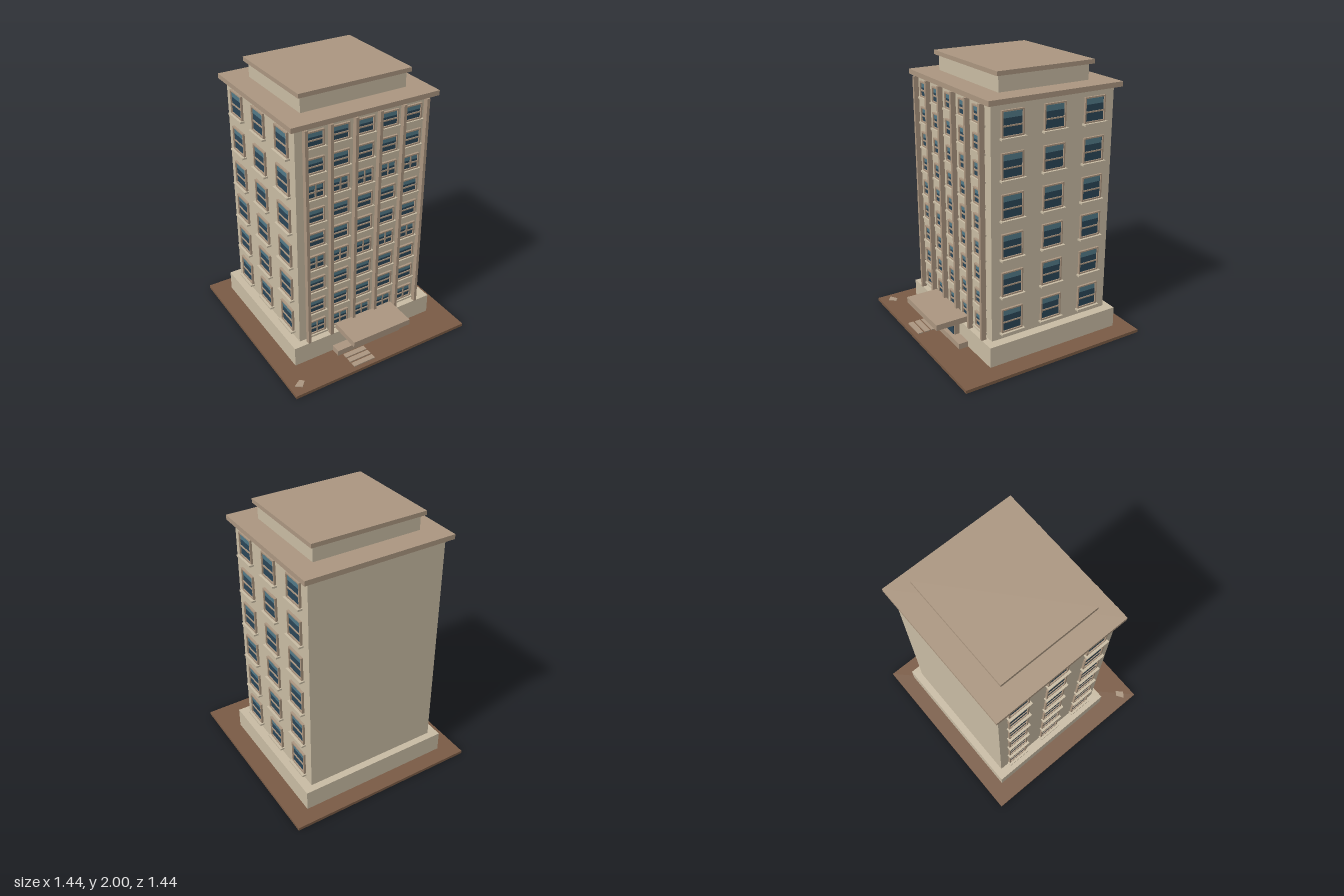
import * as THREE from 'three';

const mat = (name, color) => {
  const m = new THREE.MeshStandardMaterial({ color });
  m.name = name;
  return m;
};

export function createModel() {
  const wall = mat('cream wall', 0xc8bba3);
  const trim = mat('tan trim', 0xab9680);
  const earth = mat('brown ground', 0x7a5b45);
  const glass = mat('dark glass', 0x2b4657);
  const blind = mat('pale glass', 0x527a88);

  const model = new THREE.Group();
  model.name = 'officeTower';

  // Box given by its min and max on each axis
  const box = (name, material, [x0, x1], [y0, y1], [z0, z1], parent = model) => {
    const mesh = new THREE.Mesh(new THREE.BoxGeometry(x1 - x0, y1 - y0, z1 - z0), material);
    mesh.position.set((x0 + x1) / 2, (y0 + y1) / 2, (z0 + z1) / 2);
    mesh.name = name;
    parent.add(mesh);
    return mesh;
  };

  // Main masses
  box('groundSlab', earth, [-0.72, 0.72], [0, 0.023], [-0.72, 0.72]);
  box('plinth', wall, [-0.58, 0.58], [0.023, 0.175], [-0.6, 0.455]);
  box('towerBody', wall, [-0.512, 0.512], [0.175, 1.825], [-0.547, 0.403]);
  box('roofSlab', trim, [-0.555, 0.555], [1.825, 1.86], [-0.587, 0.443]);
  box('penthouse', wall, [-0.4, 0.4], [1.86, 1.97], [-0.42, 0.28]);
  box('penthouseRoof', trim, [-0.425, 0.425], [1.97, 2], [-0.447, 0.305]);

  // Vertical fins standing just clear of the front wall
  for (let i = 0; i < 6; i++) {
    const x = -0.458 + i * 0.1832;
    box('frontFin', trim, [x - 0.011, x + 0.011], [0.175, 1.825], [0.422, 0.458]);
  }

  // Window facing +z, with its back on z = 0 and its bottom edge at y = 0
  function makeWindow({ w, h, band, bar, cross, sill }) {
    const g = new THREE.Group();
    g.name = 'window';
    const f = 0.01, d = 0.016, r = w / 2;
    box('glassPane', glass, [-r + f, r - f], [f, h - f], [0, 0.006], g);
    box('paleGlassBand', blind, [-r + f + 0.003, r - f - 0.003], [h - f - band, h - f - 0.003], [0.004, 0.008], g);
    for (const s of [-1, 1]) {
      const x = s * (r - f / 2);
      box('frameJamb', trim, [x - f / 2, x + f / 2], [0, h], [0, d], g);
    }
    box('frameHead', trim, [-r + f, r - f], [h - f, h], [0, d], g);
    box('frameFoot', trim, [-r + f, r - f], [0, f], [0, d], g);
    box('crossBar', trim, [-r + f, r - f], [bar - 0.005, bar + 0.005], [0, 0.012], g);
    if (cross) box('mullion', trim, [-0.005, 0.005], [f, h - f], [0, 0.0125], g);
    box('sill', wall, [-r - 0.01, r + 0.01], [-0.013, 0], [0, sill], g);
    return g;
  }

  // Front windows: nine floors of five, every third floor with a mullion
  for (let row = 0; row < 9; row++) {
    for (let col = -2; col <= 2; col++) {
      const win = makeWindow({ w: 0.132, h: 0.112, band: 0.032, bar: 0.048, cross: row % 3 === 0, sill: 0.028 });
      win.position.set(col * 0.1865, 0.211 + row * 0.1835, 0.403);
      model.add(win);
    }
  }

  // Side windows: six rows of three on both flanks
  for (const side of [-1, 1]) {
    for (let row = 0; row < 6; row++) {
      for (const z of [0.248, -0.07, -0.388]) {
        const win = makeWindow({ w: 0.166, h: 0.176, band: 0.042, bar: 0.073, cross: false, sill: 0.034 });
        win.position.set(side * 0.512, 0.226 + row * 0.2755, z);
        win.rotation.y = side * Math.PI / 2;
        model.add(win);
      }
    }
  }

  // Entrance: landing, glazed double doors and canopy
  box('landing', trim, [-0.27, 0.27], [0.023, 0.066], [0.45, 0.528]);
  box('doorSurround', trim, [-0.143, 0.143], [0.066, 0.205], [0.45, 0.494]);
  for (const s of [-1, 1]) {
    const x = s * 0.075;
    box('doorGlass', glass, [x - 0.059, x + 0.059], [0.068, 0.202], [0.492, 0.5]);
  }
  box('canopy', trim, [-0.237, 0.237], [0.204, 0.247], [0.44, 0.683]);

  // Low path slabs in front of the landing
  for (const z of [0.56, 0.612, 0.666]) {
    box('pathSlab', trim, [-0.233, -0.06], [0.023, 0.031], [z - 0.02, z + 0.02]);
  }

  // Loose flagstone near the front corner
  const outline = [[-0.685, 0.632], [-0.63, 0.596], [-0.6, 0.62], [-0.642, 0.665]];
  const shape = new THREE.Shape(outline.map(([x, z]) => new THREE.Vector2(x, -z)));
  const stone = new THREE.Mesh(new THREE.ExtrudeGeometry(shape, { depth: 0.005, bevelEnabled: false }), trim);
  stone.rotation.x = -Math.PI / 2;
  stone.position.y = 0.023;
  stone.name = 'flagstone';
  model.add(stone);

  return model;
}
